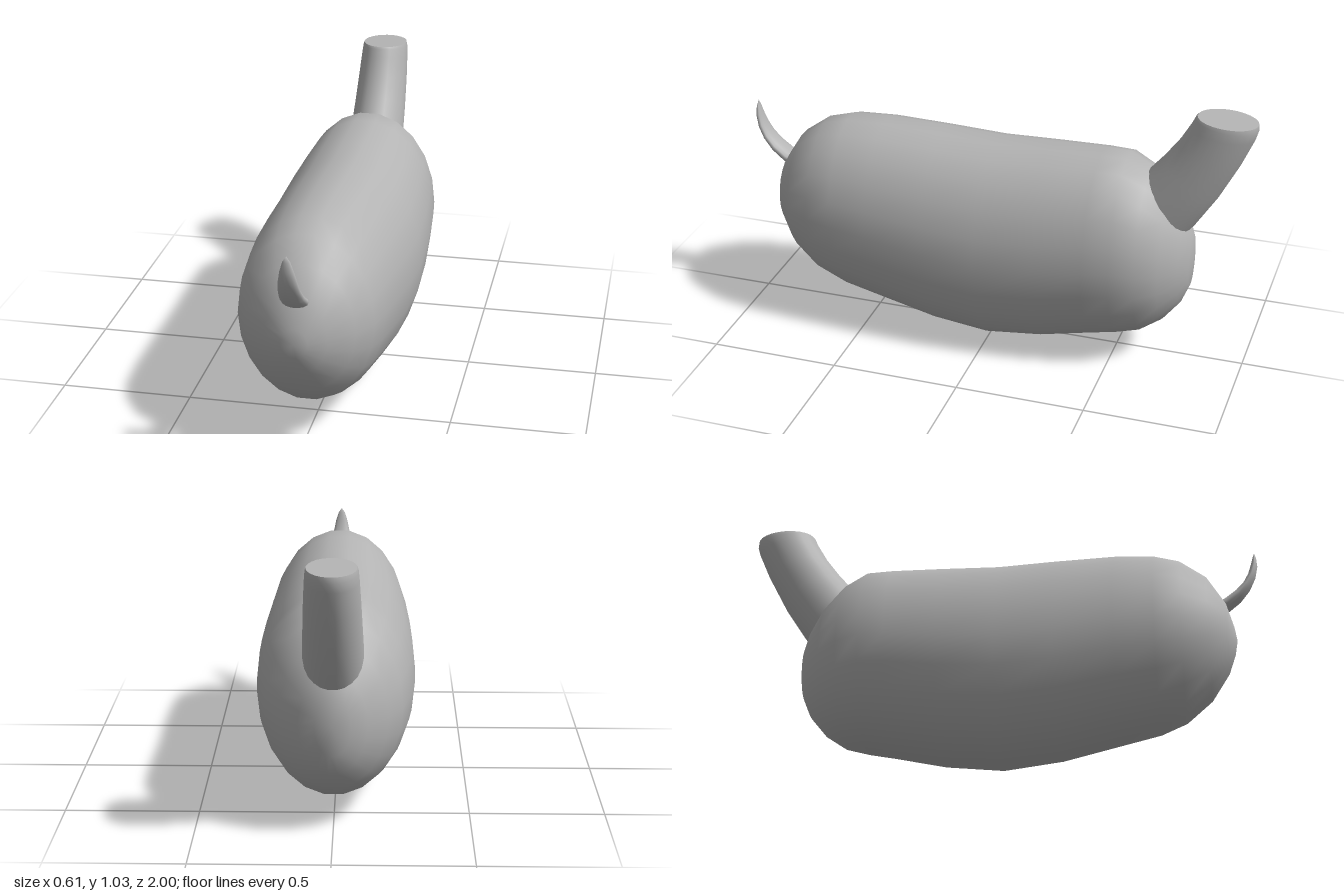
import * as THREE from 'three';
import { mergeVertices } from 'three/addons/utils/BufferGeometryUtils.js';

// Skin through elliptical rings. Each ring is [z1, y1, z2, y2, halfWidth]:
// two opposite points in the middle plane, and its half width along x.
function loft(rings, sides) {
  const pos = [], index = [];
  for (const [z1, y1, z2, y2, w] of rings) {
    for (let i = 0; i < sides; i++) {
      const a = ((i + 0.5) / sides) * Math.PI * 2;
      const c = Math.cos(a);
      pos.push(w * Math.sin(a), (y1 + y2) / 2 + ((y1 - y2) / 2) * c, (z1 + z2) / 2 + ((z1 - z2) / 2) * c);
    }
  }
  for (let r = 0; r < rings.length - 1; r++) {
    for (let i = 0; i < sides; i++) {
      const j = (i + 1) % sides;
      const a = r * sides + i, b = r * sides + j;
      index.push(a, b, a + sides, b, b + sides, a + sides);
    }
  }
  const geo = new THREE.BufferGeometry();
  geo.setAttribute('position', new THREE.Float32BufferAttribute(pos, 3));
  geo.setIndex(index);
  const merged = mergeVertices(geo, 1e-5);
  merged.computeVertexNormals();
  return merged;
}

// Flat lid over a ring, with its own hard-edged normals
function lid([z1, y1, z2, y2, w], sides) {
  const centre = [0, (y1 + y2) / 2, (z1 + z2) / 2];
  const pos = [...centre], index = [];
  for (let i = 0; i < sides; i++) {
    const a = ((i + 0.5) / sides) * Math.PI * 2;
    const c = Math.cos(a);
    pos.push(w * Math.sin(a), centre[1] + ((y1 - y2) / 2) * c, centre[2] + ((z1 - z2) / 2) * c);
    index.push(0, 1 + i, 1 + ((i + 1) % sides));
  }
  const geo = new THREE.BufferGeometry();
  geo.setAttribute('position', new THREE.Float32BufferAttribute(pos, 3));
  geo.setIndex(index);
  geo.computeVertexNormals();
  return geo;
}

export function createModel() {
  const model = new THREE.Group();
  model.name = 'animalTorso';
  const grey = new THREE.MeshStandardMaterial({ color: 0xb4b4b4 });
  grey.name = 'grey';

  const add = (name, geometry) => {
    const mesh = new THREE.Mesh(geometry, grey);
    mesh.name = name;
    model.add(mesh);
  };

  // Body: z, top, bottom, half width, from the tail end to the neck end
  const body = [
    [0.907, 0.475, 0.475, 0],
    [0.897, 0.53, 0.42, 0.05],
    [0.87, 0.625, 0.345, 0.115],
    [0.8, 0.735, 0.24, 0.2],
    [0.7, 0.807, 0.155, 0.25],
    [0.6, 0.835, 0.112, 0.268],
    [0.45, 0.842, 0.078, 0.283],
    [0.22, 0.835, 0.025, 0.298],
    [0, 0.825, 0, 0.305],
    [-0.22, 0.832, 0.025, 0.3],
    [-0.42, 0.837, 0.07, 0.287],
    [-0.52, 0.835, 0.09, 0.275],
    [-0.61, 0.785, 0.115, 0.25],
    [-0.69, 0.705, 0.17, 0.198],
    [-0.75, 0.61, 0.245, 0.125],
    [-0.78, 0.535, 0.32, 0.065],
    [-0.787, 0.43, 0.43, 0],
  ];
  add('body', loft(body.map(([z, top, bottom, w]) => [z, top, z, bottom, w]), 22));

  // Neck stub, cut off flat at the top
  const neck = [
    [-0.53, 0.7, -0.7, 0.47, 0.11],
    [-0.6, 0.785, -0.79, 0.59, 0.109],
    [-0.655, 0.85, -0.87, 0.715, 0.105],
    [-0.71, 0.925, -0.945, 0.86, 0.1],
    [-0.75, 0.995, -0.99, 0.965, 0.095],
    [-0.765, 1.028, -1, 1.0, 0.092],
    [-0.772, 1.036, -0.998, 1.022, 0.088],
  ];
  add('neck', loft(neck, 24));
  add('neckCut', lid(neck[neck.length - 1], 24));

  // Upturned tail
  const tail = [
    [0.84, 0.585, 0.83, 0.635, 0.048],
    [0.88, 0.605, 0.865, 0.648, 0.048],
    [0.93, 0.645, 0.91, 0.682, 0.045],
    [0.968, 0.693, 0.94, 0.715, 0.04],
    [0.99, 0.74, 0.962, 0.755, 0.034],
    [1.0, 0.787, 0.975, 0.795, 0.025],
    [0.997, 0.825, 0.984, 0.828, 0.014],
    [0.99, 0.847, 0.99, 0.847, 0],
  ];
  add('tail', loft(tail, 14));
  return model;
}
